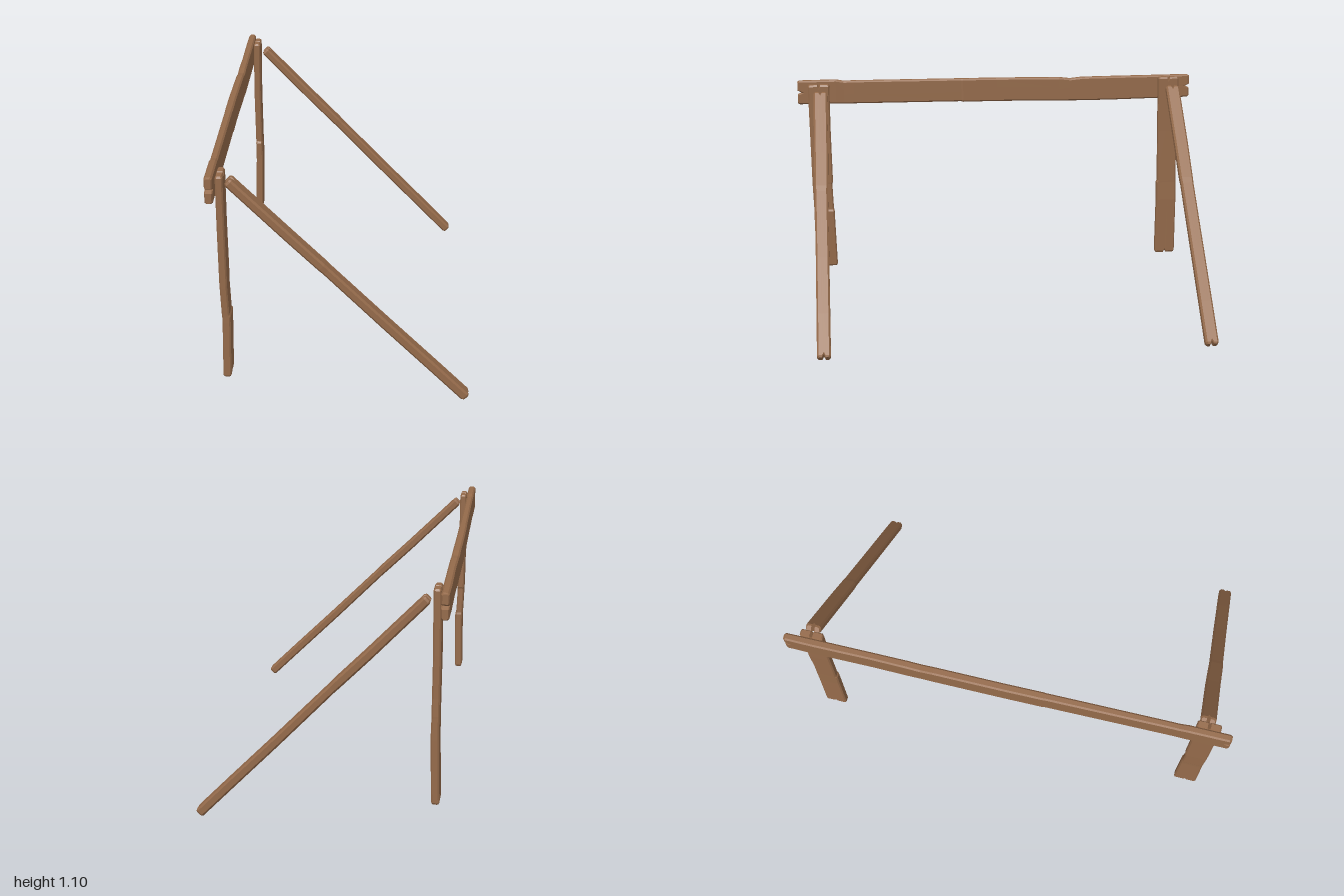
import * as THREE from 'three';

const wood = new THREE.MeshStandardMaterial({ color: 0x946a4a, flatShading: true, roughness: 0.9 });

// Rough-hewn plank from a to b. u is its broad direction.
// stations: [t along length, low edge, high edge, thickness offset, half thickness]
function plank(name, a, b, u, stations, chamfer, notch) {
  const start = new THREE.Vector3(...a);
  const axis = new THREE.Vector3(...b).sub(start);
  const length = axis.length();
  axis.normalize();
  const U = new THREE.Vector3(...u);
  U.addScaledVector(axis, -U.dot(axis)).normalize();
  const V = new THREE.Vector3().crossVectors(axis, U);

  // chamfered cross-section, with three points on each broad face for the end split
  const ring = (d, lo, hi, v, T, c, cut) => {
    const m = (lo + hi) / 2, n = notch * 0.5;
    const pts = [
      [hi, -T + c], [hi, T - c], [hi - c, T], [m + n, T], [m, T], [m - n, T], [lo + c, T],
      [lo, T - c], [lo, -T + c], [lo + c, -T], [m - n, -T], [m, -T], [m + n, -T], [hi - c, -T],
    ];
    return pts.map(([pu, pv], i) => start.clone()
      .addScaledVector(axis, d + (i === 4 || i === 11 ? cut : 0))
      .addScaledVector(U, pu).addScaledVector(V, pv + v));
  };

  const bevel = 0.009, s = 0.005;
  const rings = [];
  stations.forEach(([t, lo, hi, v, T], i) => {
    const first = i === 0, last = i === stations.length - 1;
    const d = t * length;
    const cut = first ? notch : last ? -notch : 0;
    const tip = (at) => ring(at, lo + s, hi - s, v, T - s, chamfer * 0.8, cut);
    if (first) rings.push(tip(d));
    rings.push(ring(d + (first ? bevel : last ? -bevel : 0), lo, hi, v, T, chamfer, cut));
    if (last) rings.push(tip(d));
  });

  const pos = [];
  const tri = (...p) => p.forEach((q) => pos.push(q.x, q.y, q.z));
  const quad = (p, q, r, w) => { tri(p, q, r); tri(p, r, w); };
  for (let j = 0; j < rings.length - 1; j++) {
    const A = rings[j], B = rings[j + 1];
    for (let i = 0; i < 14; i++) {
      const k = (i + 1) % 14;
      quad(A[i], A[k], B[k], B[i]);
    }
  }
  // split end caps
  const caps = [[0, 1, 2, 13], [13, 2, 3, 12], [12, 3, 4, 11], [11, 4, 5, 10], [10, 5, 6, 9], [9, 6, 7, 8]];
  const A = rings[0], B = rings[rings.length - 1];
  for (const [p, q, r, w] of caps) {
    quad(B[p], B[q], B[r], B[w]);
    quad(A[w], A[r], A[q], A[p]);
  }

  const geo = new THREE.BufferGeometry();
  geo.setAttribute('position', new THREE.Float32BufferAttribute(pos, 3));
  geo.computeVertexNormals();
  const mesh = new THREE.Mesh(geo, wood);
  mesh.name = name;
  return mesh;
}

export function createModel() {
  const group = new THREE.Group();
  group.name = 'woodenFrame';

  // long top board, running front to back
  group.add(plank('crossBeam', [-0.545, 1.03, -1], [-0.533, 1.03, 1], [0, 1, 0], [
    [0, -0.06, 0.056, 0, 0.017],
    [0.07, -0.062, 0.055, 0, 0.018],
    [0.2, -0.065, 0.055, -0.001, 0.017],
    [0.28, -0.065, 0.054, 0, 0.018],
    [0.31, -0.064, 0.048, 0, 0.018],
    [0.34, -0.063, 0.055, 0.001, 0.018],
    [0.5, -0.058, 0.059, 0.003, 0.018],
    [0.585, -0.058, 0.06, 0.002, 0.018],
    [0.59, -0.055, 0.06, 0.002, 0.017],
    [0.86, -0.052, 0.063, 0, 0.016],
    [0.885, -0.052, 0.062, 0, 0.016],
    [0.905, -0.051, 0.069, 0, 0.017],
    [1, -0.05, 0.068, 0, 0.017],
  ], 0.007, 0.022));

  // upright boards
  group.add(plank('frontPost', [-0.494, 0.138, 0.887], [-0.496, 1.083, 0.895], [0, 0, 1], [
    [0, -0.056, 0.052, 0.001, 0.0175],
    [0.28, -0.052, 0.051, 0.007, 0.0175],
    [0.31, -0.052, 0.05, 0.007, 0.018],
    [0.32, -0.049, 0.05, 0.004, 0.016],
    [0.46, -0.046, 0.053, 0, 0.016],
    [0.47, -0.05, 0.053, 0, 0.0165],
    [0.75, -0.05, 0.053, -0.001, 0.016],
    [1, -0.053, 0.053, 0, 0.016],
  ], 0.006, 0.014));
  group.add(plank('backPost', [-0.518, 0.138, -0.894], [-0.508, 1.083, -0.885], [0, 0, 1], [
    [0, -0.051, 0.052, 0, 0.0175],
    [0.31, -0.051, 0.05, 0.005, 0.0175],
    [0.41, -0.05, 0.052, 0.003, 0.0165],
    [0.42, -0.05, 0.046, 0.003, 0.0165],
    [0.5, -0.048, 0.048, 0.002, 0.0165],
    [0.7, -0.05, 0.05, -0.001, 0.0165],
    [1, -0.051, 0.053, 0, 0.0165],
  ], 0.006, 0.014));

  // slanting braces down to the ground
  const brace = [
    [0, -0.034, 0.034, 0, 0.019],
    [0.25, -0.034, 0.033, 0.001, 0.02],
    [0.38, -0.031, 0.034, -0.001, 0.02],
    [0.4, -0.03, 0.032, -0.001, 0.019],
    [0.65, -0.031, 0.031, 0.001, 0.02],
    [0.85, -0.031, 0.031, 0, 0.0205],
    [1, -0.031, 0.031, 0, 0.0205],
  ];
  group.add(plank('frontBrace', [-0.467, 1.044, 0.887], [0.542, 0.042, 0.893], [0, 0, 1], brace, 0.008, 0.016));
  group.add(plank('backBrace', [-0.47, 1.035, -0.897], [0.515, 0.0145, -0.891], [0, 0, 1], brace, 0.008, 0.016));

  return group;
}
